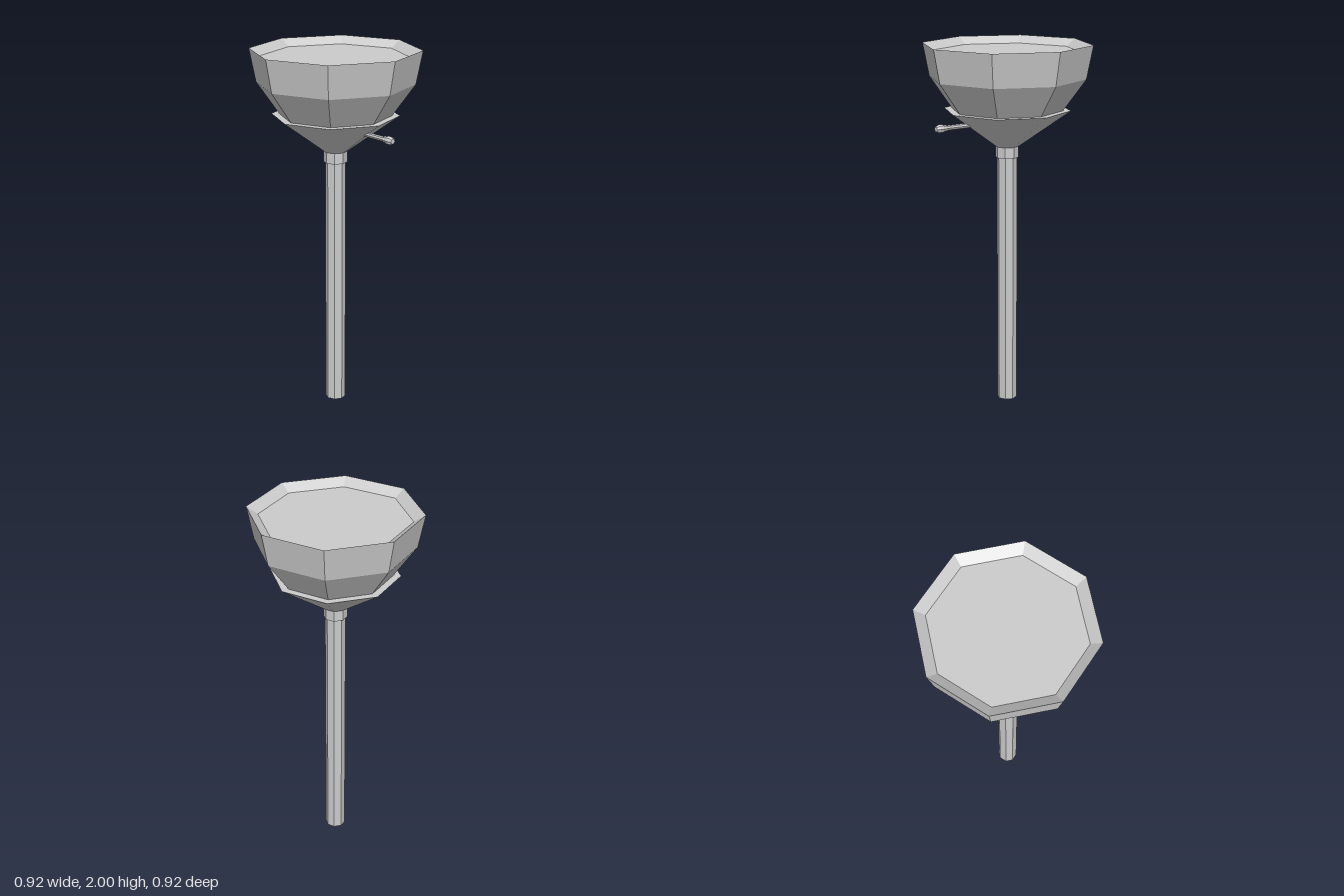
import * as THREE from 'three';

const SIDES = 8;

export function createModel() {
  const model = new THREE.Group();
  const material = new THREE.MeshStandardMaterial({
    color: 0xcccccc, flatShading: true, side: THREE.DoubleSide,
  });

  // Octagonal turned part from [radius, height] pairs, listed upwards along the outside
  function turned(name, profile) {
    const points = profile.map(([r, y]) => new THREE.Vector2(r, y));
    const mesh = new THREE.Mesh(new THREE.LatheGeometry(points, SIDES), material);
    mesh.name = name;
    model.add(mesh);
    return mesh;
  }

  // Post and the collar under the funnel
  turned('post', [[0, 0], [0.055, 0], [0.055, 1.46]]);
  turned('collar', [[0.055, 1.39], [0.064, 1.39], [0.064, 1.45]]);

  // Funnel-shaped support with a flat top ledge
  turned('funnel', [[0, 1.45], [0.064, 1.45], [0.345, 1.65], [0, 1.65]]);

  // Bowl: faceted wall, sharp rim, shallow recessed top
  turned('bowl', [[0.303, 1.65], [0.425, 1.82], [0.46, 2], [0.4, 1.96], [0, 1.96]]);

  // Handle pointing forward, with a small ring and a knob at its end
  const handle = turned('handle', [
    [0.014, 0.2], [0.014, 0.385], [0.018, 0.392], [0.018, 0.405],
    [0.023, 0.415], [0.023, 0.435], [0.014, 0.452], [0, 0.452],
  ]);
  handle.rotation.x = Math.PI / 2;
  handle.position.y = 1.588;

  return model;
}
